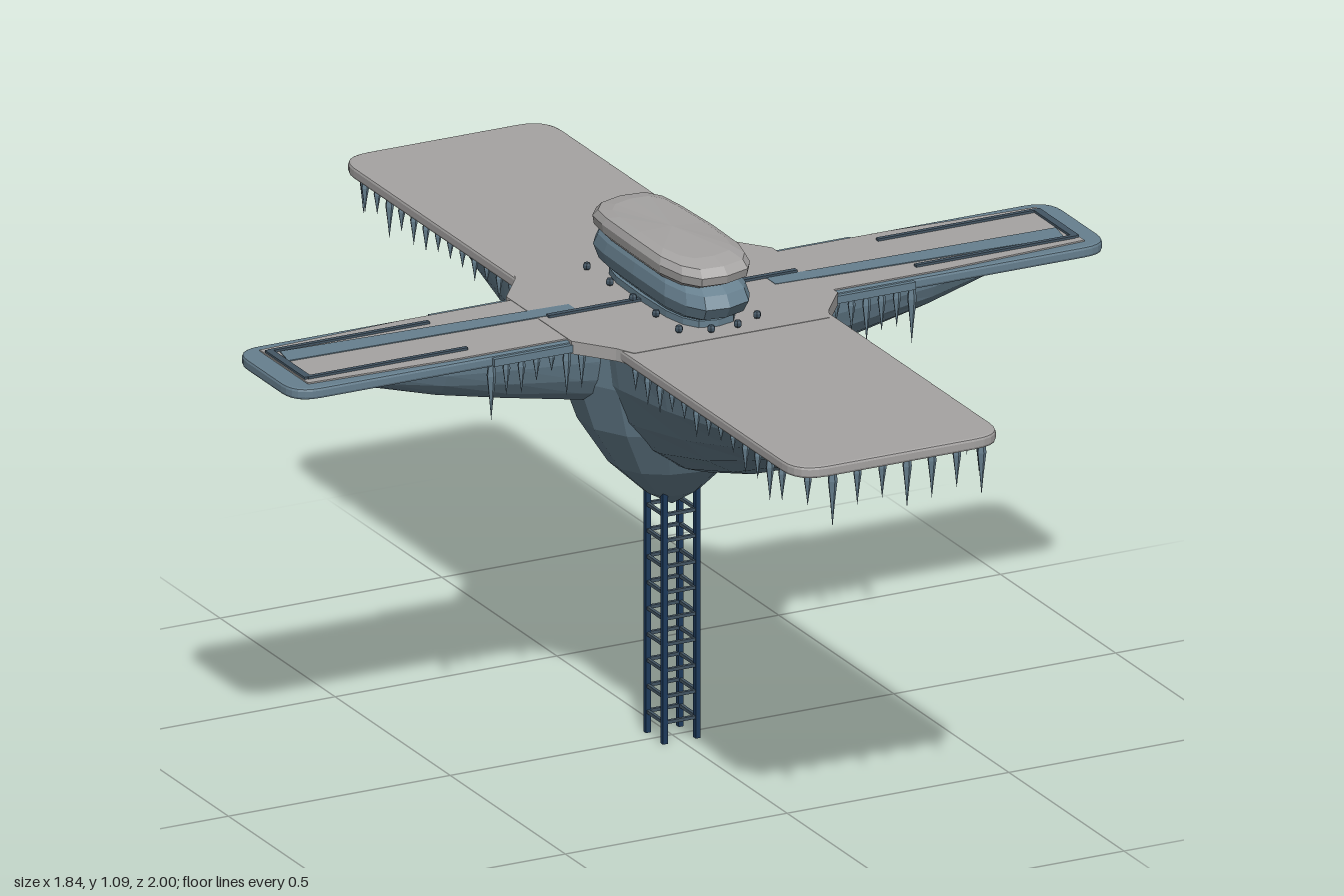
import * as THREE from 'three';

const mat = (name, color, extra = {}) => {
  const m = new THREE.MeshStandardMaterial({ color, flatShading: true, side: THREE.DoubleSide, ...extra });
  m.name = name;
  return m;
};

export function createModel() {
  const root = new THREE.Group();
  root.name = 'skyPlatform';
  const slate = mat('slateBlue', 0x67808f);
  const grey = mat('snowGrey', 0xa5a3a2);
  const navy = mat('navy', 0x1d3a5c);
  const trim = mat('darkTrim', 0x435563);

  const add = (name, geo, material, parent = root) => {
    const m = new THREE.Mesh(geo, material);
    m.name = name;
    parent.add(m);
    return m;
  };
  const box = (name, sx, sy, sz, x, y, z, material, parent = root) => {
    const m = add(name, new THREE.BoxGeometry(sx, sy, sz), material, parent);
    m.position.set(x, y, z);
    return m;
  };
  const group = (name) => {
    const g = new THREE.Group();
    g.name = name;
    root.add(g);
    return g;
  };

  // Rounded rectangle in plan
  const roundRect = (hx, hz, r) => {
    const s = new THREE.Shape();
    s.moveTo(-hx + r, -hz);
    s.lineTo(hx - r, -hz);
    s.quadraticCurveTo(hx, -hz, hx, -hz + r);
    s.lineTo(hx, hz - r);
    s.quadraticCurveTo(hx, hz, hx - r, hz);
    s.lineTo(-hx + r, hz);
    s.quadraticCurveTo(-hx, hz, -hx, hz - r);
    s.lineTo(-hx, -hz + r);
    s.quadraticCurveTo(-hx, -hz, -hx + r, -hz);
    return s;
  };
  const polygon = (pts) => new THREE.Shape(pts.map(([x, z]) => new THREE.Vector2(x, -z)));
  // Flat slab between two heights, with an optional softened edge
  const slab = (name, shape, y0, y1, material, bevel = 0) => {
    const g = new THREE.ExtrudeGeometry(shape, {
      depth: y1 - y0 - 2 * bevel, curveSegments: 6, bevelEnabled: bevel > 0,
      bevelThickness: bevel, bevelSize: bevel, bevelOffset: -bevel, bevelSegments: 2,
    });
    g.rotateX(-Math.PI / 2).translate(0, y0 + bevel, 0);
    return add(name, g, material);
  };

  // Crossed decks
  slab('sideArms', roundRect(0.92, 0.135, 0.06), 0.914, 0.938, slate, 0.006);
  slab('longDeck', roundRect(0.235, 1, 0.07), 0.916, 0.941, grey, 0.006);
  slab('centreDeck', polygon([[0.22, 0.26], [0.24, 0.22], [0.3, 0.142], [0.3, -0.142], [0.24, -0.22], [0.22, -0.26],
    [-0.22, -0.26], [-0.24, -0.22], [-0.3, -0.142], [-0.3, 0.142], [-0.24, 0.22], [-0.22, 0.26]]), 0.915, 0.942, grey);

  // Arm inlays, raised frames and bare wedges, one set per side
  for (const s of [1, -1]) {
    const flip = (pts) => pts.map(([x, z]) => [s * x, s * z]);
    slab('armSnow', polygon(flip([[0.29, -0.122], [0.55, -0.122], [0.875, -0.105], [0.875, 0.105], [0.55, 0.122], [0.29, 0.122]])), 0.937, 0.941, grey);
    slab('bareWedge', polygon(flip([[0.21, 0.005], [0.855, 0.02], [0.845, 0.075], [0.21, 0.045]])), 0.94, 0.943, slate);
    for (const z of [-0.083, 0.083]) {
      box('armFrameSide', 0.36, 0.008, 0.01, s * 0.685, 0.942, z, trim);
      box('edgeRail', 0.19, 0.016, 0.012, s * 0.38, 0.926, Math.sign(z) * 0.138, slate);
    }
    box('armFrameEnd', 0.016, 0.008, 0.172, s * 0.865, 0.942, 0, trim);
  }
  box('centreSeam', 0.56, 0.007, 0.012, 0, 0.944, 0, trim);

  // Central hull
  const hullPts = [[0, 0.495], [0.06, 0.53], [0.135, 0.6], [0.2, 0.7], [0.24, 0.81], [0.255, 0.916]]
    .map(([r, y]) => new THREE.Vector2(r, y));
  add('hull', new THREE.LatheGeometry(hullPts, 14).scale(1, 1, 0.84), slate);

  // Keels lofted outwards: stations are [distance, half width, bottom height]
  const keel = (stations, power) => {
    const n = 10, top = 0.917, pos = [], idx = [];
    stations.forEach(([d, w, bottom], i) => {
      for (let j = 0; j <= n; j++) {
        const a = (j / n) * Math.PI, c = Math.cos(a);
        pos.push(Math.sign(c) * Math.abs(c) ** power * w, top - (top - bottom) * Math.sin(a), d);
        if (i && j) {
          const b = i * (n + 1) + j, p = b - n - 1;
          idx.push(p - 1, b - 1, p, p, b - 1, b);
        }
      }
    });
    const g = new THREE.BufferGeometry();
    g.setAttribute('position', new THREE.Float32BufferAttribute(pos, 3));
    g.setIndex(idx);
    g.computeVertexNormals();
    return g;
  };
  const longKeel = keel([[0, 0.2, 0.59], [0.15, 0.21, 0.612], [0.35, 0.205, 0.675], [0.52, 0.19, 0.745],
    [0.68, 0.16, 0.815], [0.79, 0.105, 0.87], [0.85, 0.02, 0.912]], 1.3);
  const sideKeel = keel([[0.1, 0.105, 0.74], [0.24, 0.102, 0.765], [0.4, 0.095, 0.797], [0.55, 0.085, 0.83],
    [0.68, 0.065, 0.867], [0.76, 0.04, 0.897], [0.8, 0.01, 0.914]], 0.8);
  for (let k = 0; k < 4; k++) add(k % 2 ? 'sideKeel' : 'longKeel', k % 2 ? sideKeel : longKeel, slate).rotation.y = k * Math.PI / 2;

  // Icicles hanging below the deck edges
  let seed = 7;
  const rand = () => (seed = (seed * 16807) % 2147483647) / 2147483647;
  const icicles = group('icicles');
  const icicle = (x, z, len) => {
    const r = 0.006 + len * 0.035;
    const g = new THREE.LatheGeometry([[0, -len], [r * 0.45, -len * 0.6], [r, -len * 0.2], [r * 0.7, 0]]
      .map(([a, b]) => new THREE.Vector2(a, b)), 5);
    add('icicle', g, slate, icicles).position.set(x, 0.918, z);
  };
  for (const s of [1, -1]) {
    for (let i = 0; i < 8; i++) icicle(-0.195 + i * 0.056, s * 0.965, 0.07 + rand() * 0.06);
    for (const t of [1, -1]) {
      for (let i = 0; i < 13; i++) icicle(t * 0.222, s * (0.27 + i * 0.053), i > 8 ? 0.05 + rand() * 0.045 : 0.03 + rand() * 0.04);
      for (let i = 0; i < 7; i++) icicle(t * (0.27 + i * 0.034), s * 0.128, i === 6 ? 0.12 : 0.035 + rand() * 0.07);
    }
  }

  // Lattice mast with four legs and rungs on every face
  const mast = group('mast');
  for (let k = 0; k < 4; k++) {
    const side = new THREE.Group();
    side.name = 'mastSide';
    side.rotation.y = k * Math.PI / 2;
    mast.add(side);
    box('mastLeg', 0.011, 0.56, 0.011, 0.037, 0.28, 0.037, navy, side);
    for (let i = 0; i < 9; i++) box('rung', 0.07, 0.007, 0.007, 0, 0.045 + i * 0.0555, 0.037, trim, side);
  }

  // Cabin pieces: rounded oblong plan, turned profile of [fraction, height]
  const oblong = (profile, hx, hz, wobble) => {
    const g = new THREE.LatheGeometry(profile.map(([r, y]) => new THREE.Vector2(r, y)), 16);
    const p = g.attributes.position;
    for (let i = 0; i < p.count; i++) {
      const x = p.getX(i), z = p.getZ(i), r = Math.hypot(x, z);
      const f = (v) => (r < 1e-6 ? 0 : Math.sign(v) * Math.abs(v / r) ** 0.65 * r);
      const a = Math.atan2(x, z);
      const k = 1 + wobble * Math.sin(a * 5 + 1);
      p.setXYZ(i, f(x) * hx * k, p.getY(i) + wobble * 0.12 * r * Math.sin(a * 3), f(z) * hz);
    }
    g.computeVertexNormals();
    return g;
  };
  add('cabinBase', oblong([[0, 0.938], [0.86, 0.938], [0.86, 0.956], [0, 0.956]], 0.085, 0.235, 0), slate);
  add('cabinBody', oblong([[0, 0.952], [0.7, 0.952], [0.93, 0.972], [1, 0.998], [0.94, 1.022], [0.8, 1.042], [0, 1.042]], 0.09, 0.253, 0.02), slate);
  add('cabinSnowCap', oblong([[0, 1.03], [0.86, 1.032], [0.98, 1.045], [1, 1.063], [0.93, 1.078], [0.75, 1.086], [0, 1.089]], 0.097, 0.242, 0.025), grey);

  // Small feet round the cabin
  for (const s of [1, -1]) {
    for (let i = 0; i < 5; i++) {
      const foot = add('cabinFoot', new THREE.SphereGeometry(0.009, 6, 5), trim);
      foot.position.set(s * 0.088, 0.951, -0.2 + i * 0.1);
    }
    for (const x of [-0.03, 0.03]) {
      add('cabinFoot', new THREE.SphereGeometry(0.009, 6, 5), trim).position.set(x, 0.951, s * 0.228);
    }
  }
  return root;
}
